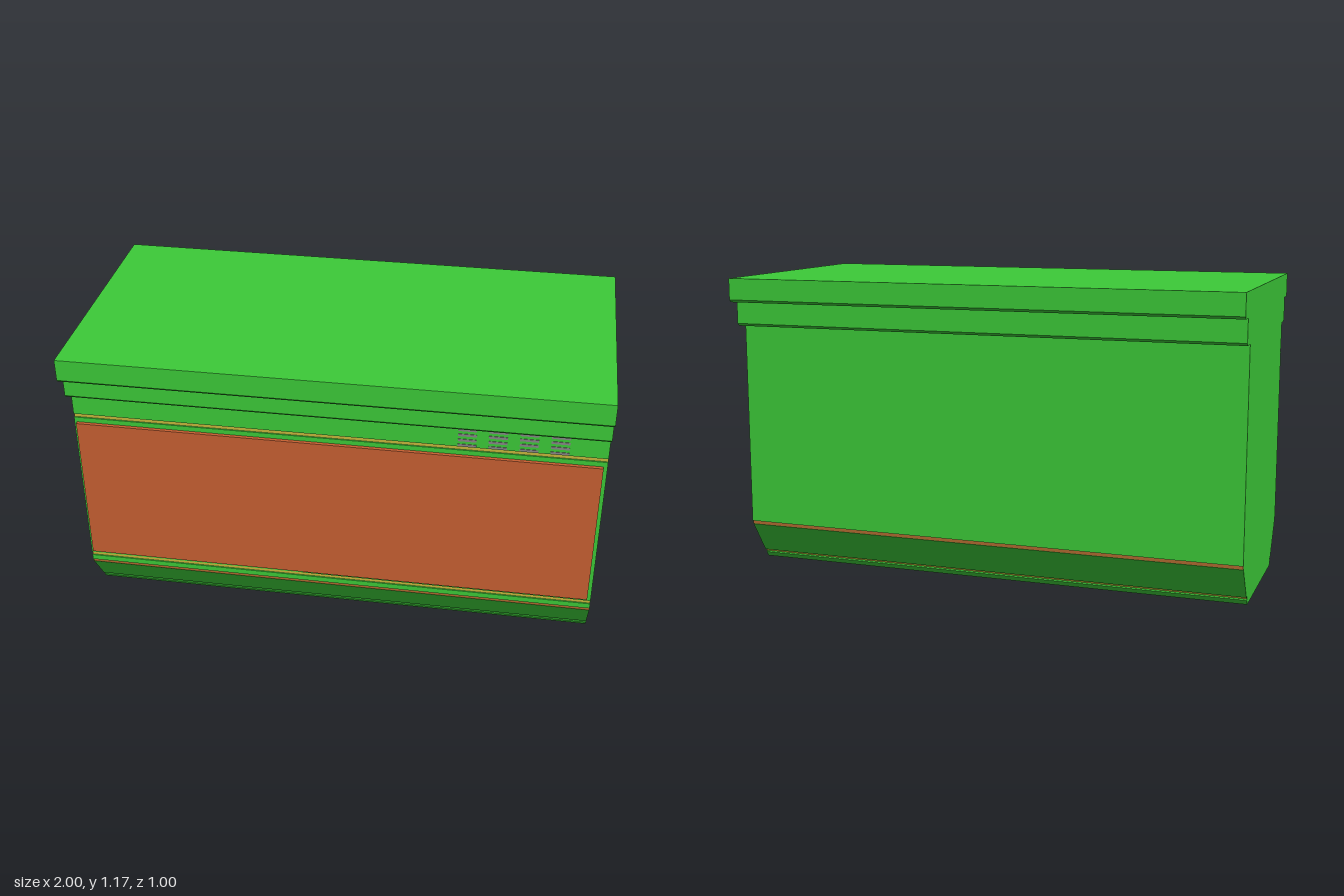
import * as THREE from 'three';

const paint = (color) => new THREE.MeshStandardMaterial({ color, flatShading: true });

export function createModel() {
  const model = new THREE.Group();
  const green = paint(0x3cca38), orange = paint(0xc86032);
  const yellow = paint(0xc8b83c), brown = paint(0xb06a30), grey = paint(0x888888);

  const add = (name, geometry, material) => {
    const mesh = new THREE.Mesh(geometry, material);
    mesh.name = name;
    model.add(mesh);
    return mesh;
  };
  const box = (name, material, size, pos) => {
    const mesh = add(name, new THREE.BoxGeometry(...size), material);
    mesh.position.set(...pos);
    return mesh;
  };

  // Cross-section as [z, y]: sloped foot, straight wall, stepped lid
  const foot = [[0.27, 0], [0.283, 0.02], [0.277, 0.024], [0.284, 0.036], [0.292, 0.033],
    [0.379, 0.163], [0.379, 0.178], [0.386, 0.178]];
  const frontGrooves = [[0.386, 0.2], [0.38, 0.2], [0.38, 0.215], [0.386, 0.215],
    [0.386, 0.86], [0.38, 0.86], [0.38, 0.875], [0.386, 0.875]];
  const lid = [[0.386, 0.98], [0.435, 0.98], [0.445, 0.99], [0.445, 1.077],
    [0.49, 1.077], [0.5, 1.087], [0.5, 1.17]];
  const back = [...foot, ...lid].reverse().map(([z, y]) => [-z, y]);
  const section = new THREE.Shape(
    [...foot, ...frontGrooves, ...lid, ...back].map(([z, y]) => new THREE.Vector2(z, y)));
  const body = new THREE.ExtrudeGeometry(section, { depth: 2, bevelEnabled: false });
  body.rotateY(-Math.PI / 2).translate(1, 0, 0);
  add('body', body, green);

  // Front panel
  box('frontPanel', orange, [1.975, 0.61, 0.02], [-0.002, 0.535, 0.39]);

  // Coloured lines inside the grooves
  for (const y of [0.2075, 0.8675])
    box('frontStripe', yellow, [1.998, 0.014, 0.003], [0, y, 0.38]);
  for (const side of [1, -1]) {
    box('wallStripe', brown, [1.998, 0.013, 0.003], [0, 0.171, side * 0.379]);
    const stripe = box('footStripe', yellow, [1.998, 0.013, 0.003], [0, 0.03, side * 0.2805]);
    stripe.rotation.x = side * Math.atan2(0.007, 0.012);
  }

  // Four columns of vent slats
  for (let column = 0; column < 4; column++)
    for (let row = 0; row < 5; row++)
      box('ventSlat', grey, [0.068, 0.01, 0.004],
        [0.49 + column * 0.112, 0.882 + row * 0.022, 0.386]);

  return model;
}
